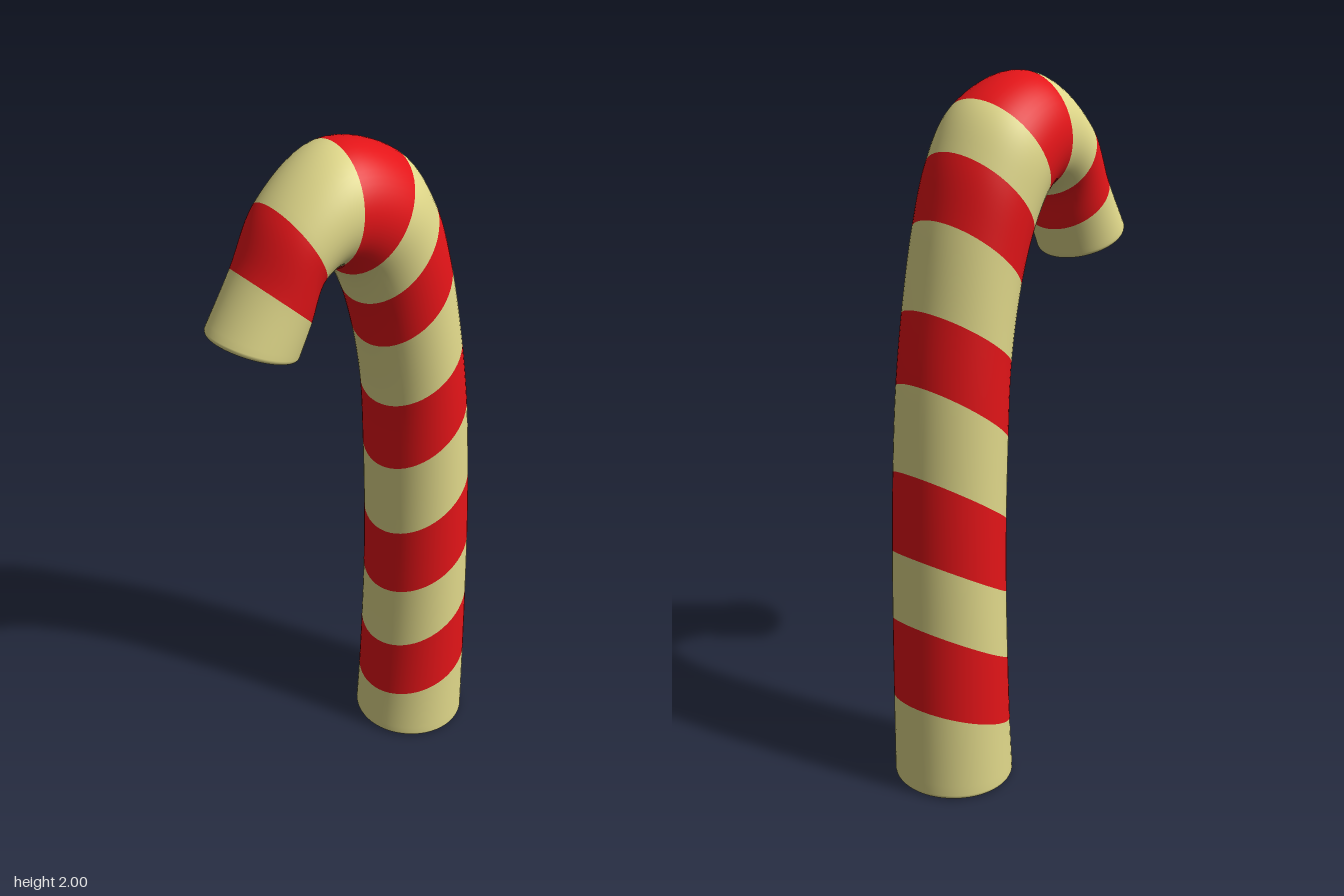
import * as THREE from 'three';

const SIDES = 56, STEPS = 8, BEVEL = 0.014;
const TAN = 0xe0d88a, RED = 0xe31418;

// Stripe borders: inner (z, y), outer (z, y), half width, sideways shift
const BORDERS = [
  [-0.08, 0.014, -0.42, 0.014, 0.175, 0],
  [-0.09, 0.156, -0.418, 0.275, 0.172, 0],
  [-0.10, 0.347, -0.413, 0.525, 0.171, 0],
  [-0.106, 0.554, -0.408, 0.73, 0.169, 0],
  [-0.106, 0.77, -0.397, 0.967, 0.167, 0],
  [-0.10, 1.0, -0.376, 1.213, 0.166, 0],
  [-0.09, 1.213, -0.345, 1.408, 0.165, 0],
  [-0.058, 1.408, -0.297, 1.64, 0.166, -0.002],
  [-0.02, 1.545, -0.241, 1.81, 0.17, -0.006],
  [0.03, 1.643, -0.148, 1.937, 0.172, -0.007],
  [0.08, 1.677, 0.048, 1.998, 0.16, -0.004],
  [0.127, 1.655, 0.238, 1.873, 0.145, 0],
  [0.157, 1.555, 0.329, 1.714, 0.135, 0],
  [0.186, 1.477, 0.42, 1.567, 0.131, 0],
];
const LAST = BORDERS.length - 1;
const innerCurve = new THREE.CatmullRomCurve3(
  BORDERS.map(([z, y, , , w]) => new THREE.Vector3(w, y, z)));
const outerCurve = new THREE.CatmullRomCurve3(
  BORDERS.map(([, , z, y, , shift]) => new THREE.Vector3(shift, y, z)));

// Slanted elliptical cross-section at stripe position u, inset and pushed along the cane
function ring(u, inset = 0, push = 0) {
  const inner = innerCurve.getPoint(u / LAST), outer = outerCurve.getPoint(u / LAST);
  const side = new THREE.Vector3(inner.x, 0, 0);
  inner.x = outer.x;
  const centre = inner.clone().add(outer).multiplyScalar(0.5);
  const axis = inner.sub(centre);
  const along = axis.clone().cross(side).normalize();
  const scale = Math.max(0, 1 - inset / side.x);
  centre.addScaledVector(along, push);
  const points = [];
  for (let j = 0; j < SIDES; j++) {
    const a = (j / SIDES) * Math.PI * 2;
    points.push(centre.clone()
      .addScaledVector(axis, Math.cos(a) * scale)
      .addScaledVector(side, Math.sin(a) * scale));
  }
  return points;
}

// Flat end with a rounded rim, listed from the centre outwards
function endRings(u, direction) {
  const rings = [ring(u, 1, direction * BEVEL), ring(u, BEVEL * 1.6, direction * BEVEL)];
  for (let k = 0; k < 5; k++) {
    const a = (k / 5) * Math.PI / 2;
    rings.push(ring(u, BEVEL * (1 - Math.sin(a)), direction * BEVEL * Math.cos(a)));
  }
  return rings;
}

export function createModel() {
  const group = new THREE.Group();
  group.name = 'candyCane';

  // All rings from the foot to the tip of the hook
  const foot = endRings(0, -1), tip = endRings(LAST, 1).reverse();
  const rings = [...foot];
  for (let i = 0; i <= LAST * STEPS; i++) rings.push(ring(i / STEPS));
  rings.push(...tip);

  // Index of the skin between two rings
  const skin = (from, to) => {
    const index = [];
    for (let i = from; i < to; i++) {
      for (let j = 0; j < SIDES; j++) {
        const k = (j + 1) % SIDES;
        const a = i * SIDES + j, b = i * SIDES + k;
        index.push(a, b, a + SIDES, b, b + SIDES, a + SIDES);
      }
    }
    return index;
  };

  // Whole surface gives normals that run smoothly across the stripes
  const whole = new THREE.BufferGeometry().setFromPoints(rings.flat());
  whole.setIndex(skin(0, rings.length - 1));
  whole.computeVertexNormals();

  // One mesh per stripe, the end stripes including the caps
  const materials = [TAN, RED].map((color) => new THREE.MeshStandardMaterial({ color }));
  for (let s = 0; s < LAST; s++) {
    const from = s === 0 ? 0 : foot.length + s * STEPS;
    const to = s === LAST - 1 ? rings.length - 1 : foot.length + (s + 1) * STEPS;
    const geometry = new THREE.BufferGeometry();
    const start = from * SIDES * 3, end = (to + 1) * SIDES * 3;
    for (const name of ['position', 'normal']) {
      const part = whole.attributes[name].array.slice(start, end);
      geometry.setAttribute(name, new THREE.BufferAttribute(part, 3));
    }
    geometry.setIndex(skin(0, to - from));
    const mesh = new THREE.Mesh(geometry, materials[s % 2]);
    mesh.name = (s % 2 ? 'redStripe' : 'creamStripe') + (Math.floor(s / 2) + 1);
    group.add(mesh);
  }
  return group;
}
